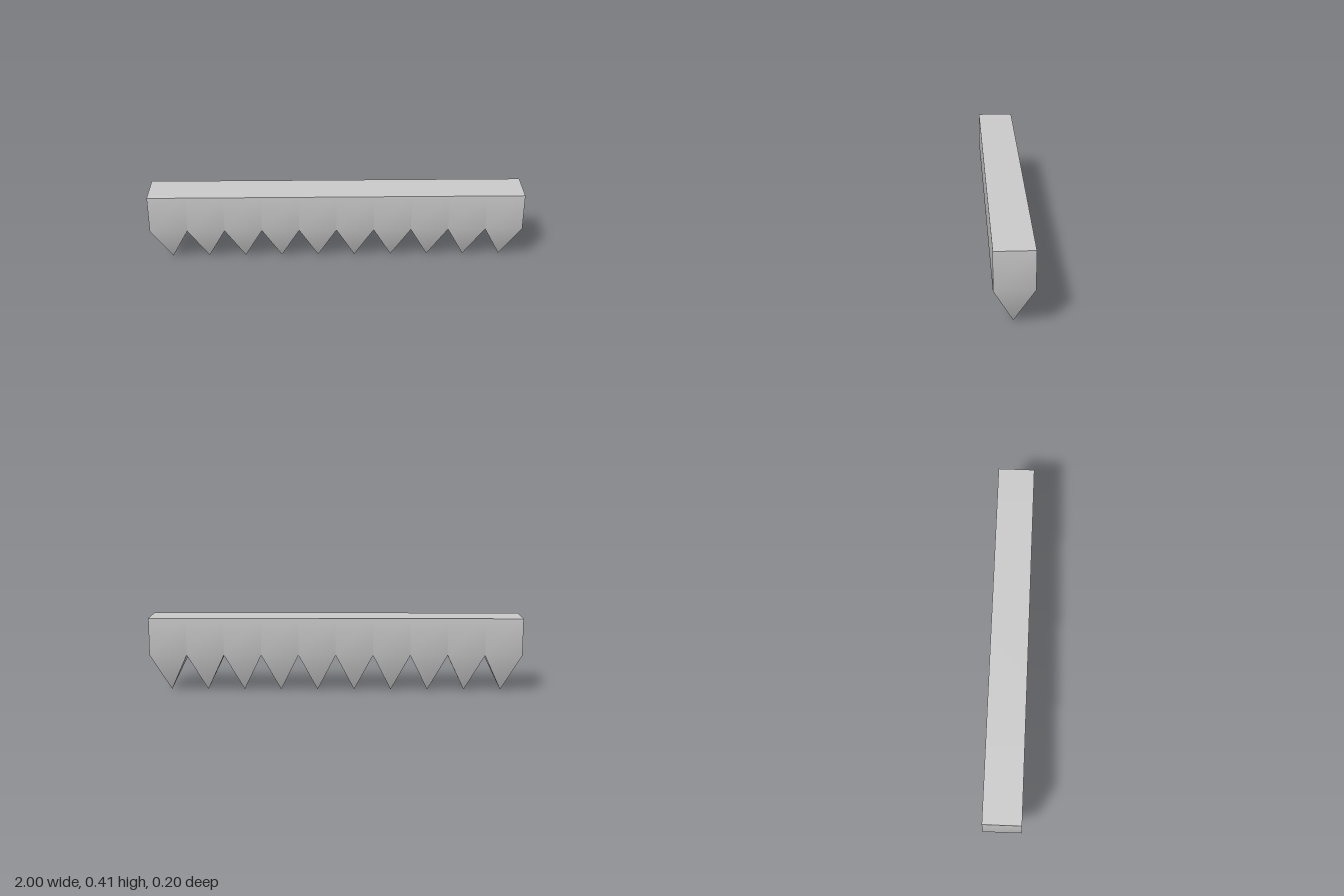
import * as THREE from 'three';
import { toCreasedNormals } from 'three/addons/utils/BufferGeometryUtils.js';

const COUNT = 10;        // spikes in the row
const HALF = 0.1;        // half width of one spike block
const SHOULDER = 0.21;   // where the point meets the block
const TOP = 0.41;

// Square block tapering to a point at the bottom
function spikeGeometry() {
  const corners = [[-HALF, HALF], [HALF, HALF], [HALF, -HALF], [-HALF, -HALF]];
  const low = corners.map(([x, z]) => [x, SHOULDER, z]);
  const high = corners.map(([x, z]) => [x, TOP, z]);
  const tip = [0, 0, 0];
  const triangles = [high[0], high[1], high[2], high[0], high[2], high[3]];
  for (let i = 0; i < 4; i++) {
    const j = (i + 1) % 4;
    triangles.push(low[i], low[j], high[j], low[i], high[j], high[i]); // wall
    triangles.push(tip, low[j], low[i]); // sloping face
  }
  const geometry = new THREE.BufferGeometry();
  geometry.setAttribute('position', new THREE.Float32BufferAttribute(triangles.flat(), 3));
  // Soft shading from wall to slope, sharp corners elsewhere
  return toCreasedNormals(geometry, Math.PI / 6);
}

export function createModel() {
  const model = new THREE.Group();
  model.name = 'spikeRow';
  const material = new THREE.MeshStandardMaterial({ color: 0xcccccc });
  const geometry = spikeGeometry();

  // Spikes side by side along x
  for (let i = 0; i < COUNT; i++) {
    const spike = new THREE.Mesh(geometry, material);
    spike.name = `spike${i + 1}`;
    spike.position.x = (i - (COUNT - 1) / 2) * HALF * 2;
    model.add(spike);
  }
  return model;
}
